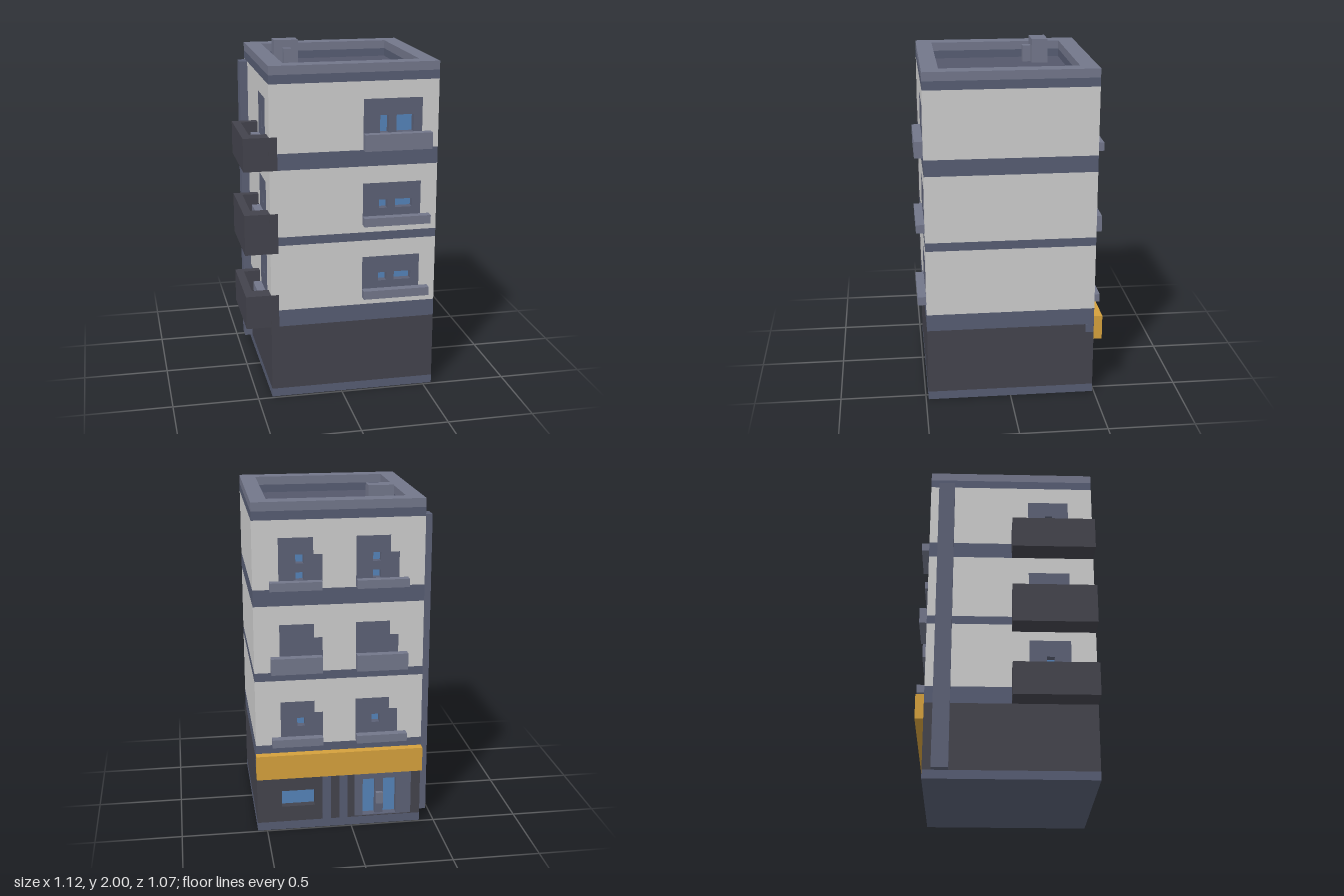
import * as THREE from 'three';

const U = 0.0487; // block size, also the depth of the outer wall layer
const X0 = -0.415, X1 = 0.555, Z0 = -0.49, Z1 = 0.485;
const mat = (color) => new THREE.MeshStandardMaterial({ color, flatShading: true });
const M = {
  wall: mat(0xc8c4c4), band: mat(0x565c72), dark: mat(0x43434c), cap: mat(0x72768a),
  roof: mat(0x55586b), niche: mat(0x5b6075), glass: mat(0x5482b8), awning: mat(0xd4a03c),
};

// box given by its limits on each axis
function box(parent, name, m, x0, x1, y0, y1, z0, z1) {
  const mesh = new THREE.Mesh(new THREE.BoxGeometry(x1 - x0, y1 - y0, z1 - z0), m);
  mesh.position.set((x0 + x1) / 2, (y0 + y1) / 2, (z0 + z1) / 2);
  mesh.name = name;
  parent.add(mesh);
  return mesh;
}

const rect = (a0, a1, y0, y1) => [[a0, y0], [a1, y0], [a1, y1], [a0, y1]];
// rectangle with a lower column on its right
const stepped = (a0, a1, a2, y0, y1, y2) =>
  [[a0, y0], [a2, y0], [a2, y2], [a1, y2], [a1, y1], [a0, y1]];
const vecs = (pts) => pts.map((p) => new THREE.Vector2(p[0], p[1]));

// flat panel with holes, extruded towards local +z
function panel(parent, name, m, outline, holes = [], depth = U) {
  const shape = new THREE.Shape(vecs(outline));
  for (const h of holes) shape.holes.push(new THREE.Path(vecs(h)));
  const mesh = new THREE.Mesh(new THREE.ExtrudeGeometry(shape, { depth, bevelEnabled: false }), m);
  mesh.name = name;
  parent.add(mesh);
  return mesh;
}

// a niche filling a wall opening, with recessed glass in its windows
function niche(face, outline, windows) {
  panel(face, 'windowNiche', M.niche, outline, windows);
  for (const w of windows) panel(face, 'windowGlass', M.glass, w, [], 0.005);
}

export function createModel() {
  const model = new THREE.Group();
  model.name = 'apartmentBuilding';

  // three detailed facades, each with its own flat coordinates
  const face = (name, x, z, ry) => {
    const g = new THREE.Group();
    g.name = name;
    g.position.set(x, 0, z);
    g.rotation.y = ry;
    model.add(g);
    return g;
  };
  const front = face('frontFacade', 0, Z1 - U, 0);
  const back = face('backFacade', 0, Z0 + U, Math.PI);
  const side = face('balconyFacade', X0 + U, 0, -Math.PI / 2);

  // niches and windows of the three upper floors
  const floors = [
    { y0: 0.54, y1: 0.93, f: [0.585, 0.83], win: [0.68, 0.73], b: [0.545, 0.80, 0.73],
      backWin: [[0.65, 0.70]], sill: [0.585, 0.635], backSill: [0.54, 0.587], rail: [0.44, 0.635] },
    { y0: 0.98, y1: 1.37, f: [1.025, 1.27], win: [1.12, 1.17], b: [0.985, 1.26, 1.18],
      backWin: [], sill: [1.025, 1.075], backSill: [0.98, 1.075], rail: [0.885, 1.12] },
    { y0: 1.465, y1: 1.855, f: [1.467, 1.755], win: [1.56, 1.66], b: [1.467, 1.755, 1.66],
      backWin: [[1.61, 1.66], [1.515, 1.56]], sill: [1.465, 1.56], backSill: [1.465, 1.513],
      rail: [1.37, 1.56] },
  ];

  // one storey or band: solid core plus outer layers with openings
  function storey(name, m, y0, y1, openings = {}) {
    box(model, name + 'Core', m, X0 + U, X1, y0, y1, Z0 + U, Z1 - U);
    panel(front, name + 'Front', m, rect(X0, X1, y0, y1), openings.front);
    panel(back, name + 'Back', m, rect(-X1, -X0, y0, y1), openings.back);
    panel(side, name + 'Side', m, rect(Z0 + U, Z1 - U, y0, y1), openings.side);
  }

  // ground floor with shop window and entrance at the back
  const shopWindow = rect(-0.41, -0.215, 0.145, 0.245);
  const frame = rect(0.02, 0.36, 0.055, 0.34);
  const door = rect(0.07, 0.27, 0.06, 0.29);
  storey('plinth', M.band, 0, 0.05);
  storey('groundFloor', M.dark, 0.05, 0.44, { back: [shopWindow, frame] });
  panel(back, 'shopGlass', M.glass, shopWindow, [], 0.005);
  panel(back, 'doorFrame', M.niche, frame, [door]);
  panel(back, 'doorGlass', M.glass, door, [], 0.005);
  panel(back, 'doorMullion', M.niche, rect(0.145, 0.195, 0.06, 0.29), [], 0.035);
  panel(back, 'doorHandle', M.cap, rect(0.15, 0.19, 0.13, 0.2), [], U + 0.01);
  for (const a of [-0.17, -0.07])
    panel(back, 'pilaster', M.band, rect(a, a + U, 0.05, 0.44), [], U + 0.003);
  box(model, 'wallPatch', M.band, X1 - U, X1 + 0.002, 0.39, 0.44, Z0 + 0.001, Z0 + U);

  // bands between floors
  for (const [y0, y1] of [[0.44, 0.54], [0.93, 0.98], [1.37, 1.465]])
    storey('floorBand', M.band, y0, y1);

  for (const f of floors) {
    const fn = rect(0.12, 0.46, ...f.f);
    const sn = rect(0.1, 0.34, ...f.f);
    const b1 = stepped(-0.41, -0.215, -0.165, ...f.b);
    const b2 = stepped(0.025, 0.22, 0.27, ...f.b);
    storey('upperFloor', M.wall, f.y0, f.y1, { front: [fn], back: [b1, b2], side: [sn] });
    niche(front, fn, [rect(0.215, 0.265, ...f.win), rect(0.31, 0.41, ...f.win)]);
    niche(side, sn, [rect(0.2, 0.245, ...f.win)]);
    niche(back, b1, f.backWin.map((w) => rect(-0.315, -0.27, ...w)));
    niche(back, b2, f.backWin.map((w) => rect(0.12, 0.165, ...w)));

    // projecting sills
    box(model, 'frontSill', M.cap, 0.12, 0.51, ...f.sill, Z1, Z1 + U);
    for (const x of [-0.32, 0.17])
      box(model, 'backSill', M.cap, x, x + 0.293, ...f.backSill, Z0 - U, Z0);

    // hollow balcony wrapping onto the front corner
    const [r0, r1] = f.rail;
    const balcony = new THREE.Group();
    balcony.name = 'balcony';
    model.add(balcony);
    box(balcony, 'balconyFloor', M.dark, -0.56, X0, r0, r0 + U, 0, Z1);
    box(balcony, 'balconyOuterRail', M.dark, -0.56, -0.513, r0 + U, r1, 0, Z1);
    box(balcony, 'balconyBackRail', M.dark, -0.513, X0, r0 + U, r1, 0, U);
    box(balcony, 'balconyFrontRail', M.dark, -0.513, X0, r0 + U, r1, 0.39, Z1);
    box(balcony, 'balconyCorner', M.dark, X0 - 0.002, -0.37, r0, r1, 0.39, Z1 + 0.002);
    box(balcony, 'balconySill', M.cap, X0 - U, X0, r1 - 0.1, r1 - U, 0.1, 0.39);
  }

  // parapet rings around the sunken roof
  const roofEdge = [rect(X0, X1, -Z1, -Z0), rect(-0.32, 0.463, -0.39, 0.39)];
  for (const [name, m, y] of [['parapet', M.band, 1.855], ['parapetCap', M.cap, 1.905]]) {
    const ring = panel(model, name, m, roofEdge[0], [roofEdge[1]], 0.05);
    ring.rotation.x = -Math.PI / 2;
    ring.position.y = y;
  }
  box(model, 'roofFloor', M.roof, -0.33, 0.47, 1.85, 1.858, -0.4, 0.4);

  // rooftop vents
  box(model, 'roofVent', M.cap, -0.27, -0.125, 1.858, 2.0, -0.295, -0.2);
  box(model, 'roofVentPipe', M.cap, -0.22, -0.173, 1.858, 1.955, -0.2, -0.15);

  // drainpipe and shop awning
  box(model, 'drainpipe', M.niche, X0 - U, X0, 0.05, 1.855, -0.44, -0.345);
  box(model, 'awning', M.awning, X0, X1 + 0.003, 0.345, 0.49, Z0 - U, Z0);

  return model;
}
